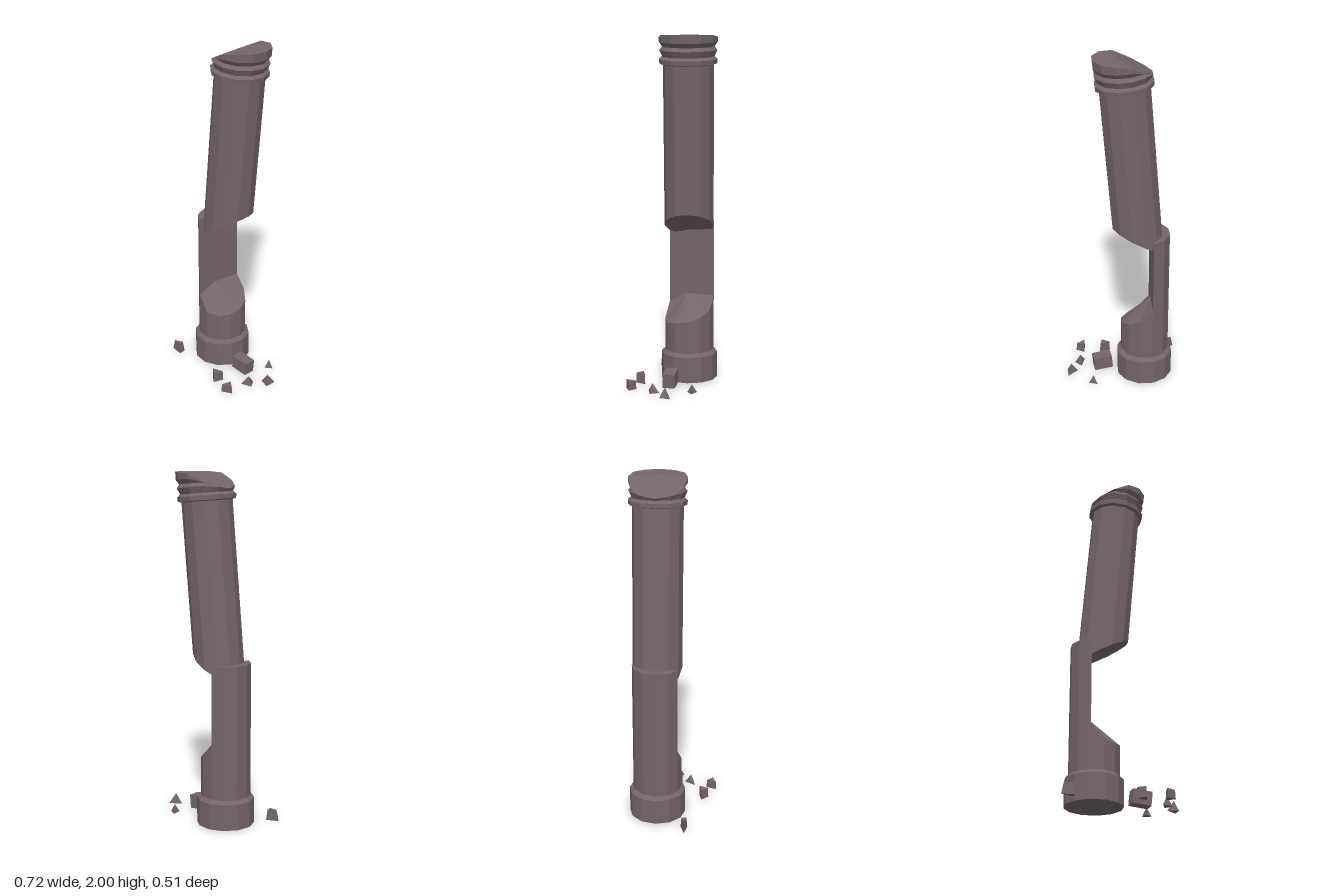
import * as THREE from 'three';

const SIDES = 12;
const CENTRE_Z = -0.09;
const V = (x, y, z) => new THREE.Vector3(x, y, z);
const angles = Array.from({ length: SIDES }, (_, i) => (i / SIDES) * Math.PI * 2);
const middle = (ring) =>
  ring.reduce((sum, p) => sum.add(p), V(0, 0, 0)).divideScalar(ring.length);

// Closed solid through a stack of rings, each running from +x towards +z
function loft(rings, topCentre) {
  const tris = [];
  const n = rings[0].length;
  const bottom = rings[0], top = rings[rings.length - 1];
  const low = middle(bottom), high = topCentre || middle(top);
  for (let k = 0; k < n; k++) {
    const j = (k + 1) % n;
    for (let i = 0; i < rings.length - 1; i++) {
      const a = rings[i][k], b = rings[i][j], c = rings[i + 1][j], d = rings[i + 1][k];
      tris.push(b, a, d, b, d, c);
    }
    tris.push(low, bottom[k], bottom[j], high, top[j], top[k]);
  }
  const geometry = new THREE.BufferGeometry().setFromPoints(tris);
  geometry.computeVertexNormals();
  return geometry;
}

export function createModel() {
  const group = new THREE.Group();
  const stone = new THREE.MeshStandardMaterial({ color: 0x74656a });
  stone.name = 'stone';
  stone.flatShading = true;
  const add = (name, geometry) => {
    const mesh = new THREE.Mesh(geometry, stone);
    mesh.name = name;
    group.add(mesh);
    return mesh;
  };

  // Foot and lower shaft with a broken, sloping top
  const baseX = -0.105, R = 0.143;
  const lowerPoint = (r, y, a) => V(baseX + r * Math.cos(a), y, CENTRE_Z + r * Math.sin(a));
  const lowerRing = (r, y) => angles.map((a) => lowerPoint(r, y, a));
  const breakHeights = [0.36, 0.345, 0.335, 0.35, 0.435, 0.49, 0.49, 0.49, 0.49, 0.49, 0.42, 0.38];
  const breakRing = angles.map((a, i) => lowerPoint(R, breakHeights[i], a));
  add('lowerShaft', loft(
    [lowerRing(0.165, 0), lowerRing(0.165, 0.15), lowerRing(R, 0.17), breakRing],
    V(-0.149, 0.49, -0.07)
  ));

  // Remaining sliver of wall joining both halves
  const sliver = breakRing.slice(4, 10);
  add('standingSliver', loft([sliver, sliver.map((p) => V(p.x, 0.94, p.z))]));

  // Leaning upper shaft: s runs along the axis from the collar
  const tilt = THREE.MathUtils.degToRad(5);
  const sin = Math.sin(tilt), cos = Math.cos(tilt);
  const upperPoint = (r, s, a) => V(
    0.022 + r * Math.cos(a) * cos + s * sin,
    1.845 - r * Math.cos(a) * sin + s * cos,
    CENTRE_Z + r * Math.sin(a)
  );
  const slantedEnd = angles.map((a) => {
    const x = -0.055 + R * Math.cos(a);
    const y = THREE.MathUtils.clamp(0.995 + 0.58 * (x - 0.085), 0.845, 0.995);
    return upperPoint(R, (y - 1.845 + R * Math.cos(a) * sin) / cos, a);
  });
  add('upperShaft', loft([slantedEnd, angles.map((a) => upperPoint(R, 0.01, a))]));

  // Ridged collar, sheared off by a slope on its right side
  const trim = (p) => {
    p.y = Math.min(p.y, 2, 1.92 + 0.47 * (p.x + 0.115));
    return p;
  };
  const profile = [
    [0.143, -0.005], [0.163, 0], [0.165, 0.025], [0.148, 0.04], [0.163, 0.075],
    [0.148, 0.095], [0.165, 0.12], [0.165, 0.17],
  ];
  add('ridgedCollar', loft(
    profile.map(([r, s]) => angles.map((a) => trim(upperPoint(r, s, a)))),
    V(0.055, 2, CENTRE_Z)
  ));

  // Rubble: plan corners, height, and how far the top shrinks (0 is a point)
  const shards = [
    [[[-0.36, 0.083], [-0.287, 0.06], [-0.287, 0.1]], 0.065, 0.7],
    [[[0.215, -0.16], [0.26, -0.13], [0.215, -0.105]], 0.05, 0],
    [[[0.285, 0.015], [0.355, -0.022], [0.343, 0.042]], 0.06, 0],
    [[[0.25, 0.052], [0.277, 0.103], [0.21, 0.117]], 0.055, 0],
    [[[0.03, 0.165], [0.1, 0.15], [0.072, 0.207]], 0.06, 0.9],
    [[[0.19, 0.19], [0.23, 0.228], [0.168, 0.252]], 0.05, 0.9],
  ];
  for (const [corners, height, shrink] of shards) {
    const base = corners.map(([x, z]) => V(x, 0, z));
    const c = middle(base);
    base.sort((p, q) => Math.atan2(p.z - c.z, p.x - c.x) - Math.atan2(q.z - c.z, q.x - c.x));
    const tip = base.map((p) => p.clone().sub(c).multiplyScalar(shrink).add(c).setY(height));
    add('rubbleShard', loft([base, tip]));
  }

  // Larger fallen block
  const block = add('rubbleBlock', new THREE.BoxGeometry(0.11, 0.08, 0.07));
  block.position.set(0.132, 0.052, 0);
  block.rotation.set(0, -0.12, -0.1);
  return group;
}
